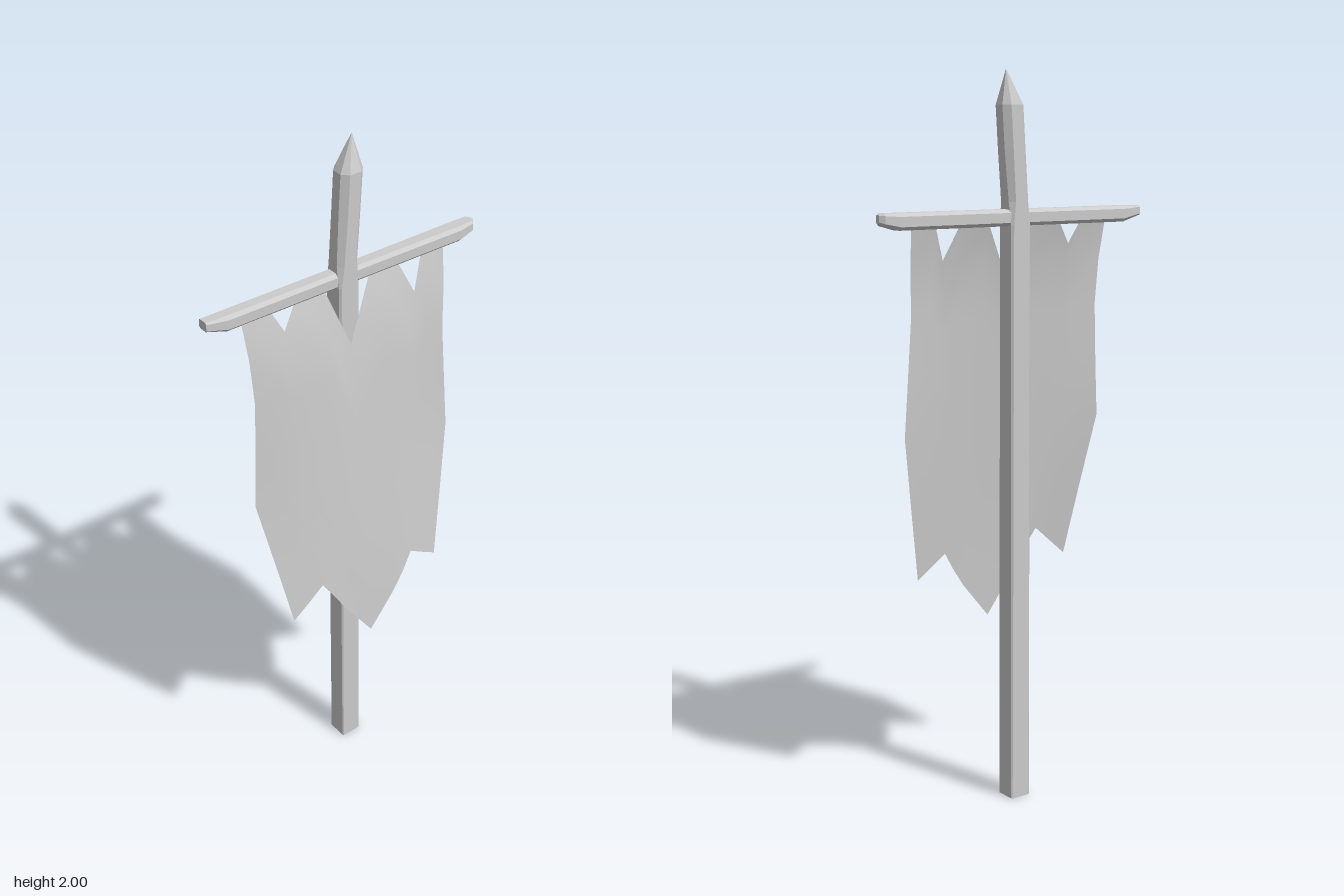
import * as THREE from 'three';

const grey = (extra) => new THREE.MeshStandardMaterial({ color: 0xcccccc, ...extra });

// Joins chamfered rectangles [along, centreU, centreV, halfU, halfV, chamfer] into a closed solid.
function loft(sections, place) {
  const pos = [];
  const rings = sections.map(([a, cu, cv, hu, hv, c]) => [
    [hu, -hv + c], [hu, hv - c], [hu - c, hv], [-hu + c, hv],
    [-hu, hv - c], [-hu, -hv + c], [-hu + c, -hv], [hu - c, -hv],
  ].map(([u, v]) => place(a, cu + u, cv + v)));
  const tri = (...points) => points.forEach((p) => pos.push(...p));
  const centre = ([a, cu, cv]) => place(a, cu, cv);
  const last = rings.length - 1;
  for (let j = 0; j < 8; j++) {
    const k = (j + 1) % 8;
    for (let i = 0; i < last; i++) {
      tri(rings[i][j], rings[i][k], rings[i + 1][k]);
      tri(rings[i][j], rings[i + 1][k], rings[i + 1][j]);
    }
    tri(centre(sections[0]), rings[0][k], rings[0][j]);
    tri(centre(sections[last]), rings[last][j], rings[last][k]);
  }
  const g = new THREE.BufferGeometry();
  g.setAttribute('position', new THREE.Float32BufferAttribute(pos, 3));
  g.computeVertexNormals();
  return g;
}

// Piecewise linear lookup in [key, value] pairs with rising keys.
function lookup(table, x) {
  let i = 1;
  while (i < table.length - 1 && x > table[i][0]) i++;
  const [x0, v0] = table[i - 1], [x1, v1] = table[i];
  return THREE.MathUtils.lerp(v0, v1, THREE.MathUtils.clamp((x - x0) / (x1 - x0), 0, 1));
}

// Columns of cloth run from a scalloped top edge to a ragged lower edge.
function bannerGeometry() {
  const columns = [ // top x, top y, bottom x, bottom y
    [-0.33, 1.61, -0.255, 0.645], [-0.24, 1.6, -0.205, 0.69], [-0.21, 1.54, -0.16, 0.73],
    [-0.17, 1.6, -0.125, 0.675], [-0.075, 1.6, -0.09, 0.615], [-0.02, 1.44, -0.005, 0.495],
    [0.065, 1.6, 0.08, 0.595], [0.16, 1.6, 0.115, 0.645], [0.2, 1.51, 0.15, 0.7],
    [0.235, 1.6, 0.2, 0.668], [0.31, 1.61, 0.245, 0.64],
  ];
  const rows = [[0, 1], [0.12, 1], [0.25, 1.01], [0.42, 1.08], [0.58, 1.155], [0.8, 1.077], [1, 1]];
  const forward = [[0.5, 0.08], [0.65, 0.076], [1.04, 0.043], [1.48, 0.003], [1.6, -0.03]];
  const sweep = [[0.5, 0.03], [1.04, 0.035], [1.48, 0.012], [1.6, 0]];
  const pos = [], index = [], n = rows.length;
  columns.forEach(([tx, ty, bx, by], c) => rows.forEach(([t, widen], r) => {
    const x = THREE.MathUtils.lerp(tx, bx, t) * widen;
    const y = THREE.MathUtils.lerp(ty, by, t);
    pos.push(x, y, lookup(forward, y) - lookup(sweep, y) * (x / 0.3) ** 2);
    if (c && r) {
      const d = c * n + r, b = d - n; // right and left columns
      index.push(b - 1, b, d, b - 1, d, d - 1);
    }
  }));
  const g = new THREE.BufferGeometry();
  g.setAttribute('position', new THREE.Float32BufferAttribute(pos, 3));
  g.setIndex(index);
  g.computeVertexNormals();
  return g;
}

export function createModel() {
  const group = new THREE.Group();
  const add = (name, geometry, material) => {
    const mesh = new THREE.Mesh(geometry, material);
    mesh.name = name;
    group.add(mesh);
  };

  // Square pole, bent slightly near its pointed tip
  add('pole', loft([
    [0, -0.009, 0.043, 0.031, 0.031, 0.003],
    [1.6, -0.009, 0.043, 0.031, 0.031, 0.006],
    [1.66, -0.008, 0.043, 0.032, 0.031, 0.014],
    [1.8, 0.002, 0.043, 0.034, 0.032, 0.017],
    [1.91, 0.009, 0.043, 0.034, 0.032, 0.017],
    [2, 0.02, 0.043, 0.001, 0.001, 0.0004],
  ], (a, u, v) => [u, a, -v]), grey({ flatShading: true }));

  // Crossbar with chamfered, tapering ends
  add('crossbar', loft([
    [-0.428, 1.626, -0.047, 0.013, 0.016, 0.004],
    [-0.37, 1.618, -0.044, 0.022, 0.023, 0.009],
    [0, 1.618, -0.044, 0.022, 0.023, 0.009],
    [0.365, 1.618, -0.045, 0.022, 0.025, 0.009],
    [0.41, 1.624, -0.046, 0.016, 0.02, 0.006],
    [0.422, 1.626, -0.048, 0.011, 0.007, 0.003],
  ], (a, u, v) => [a, u, v]), grey({ flatShading: true }));

  // Hanging cloth
  add('banner', bannerGeometry(), grey({ side: THREE.DoubleSide }));

  return group;
}
